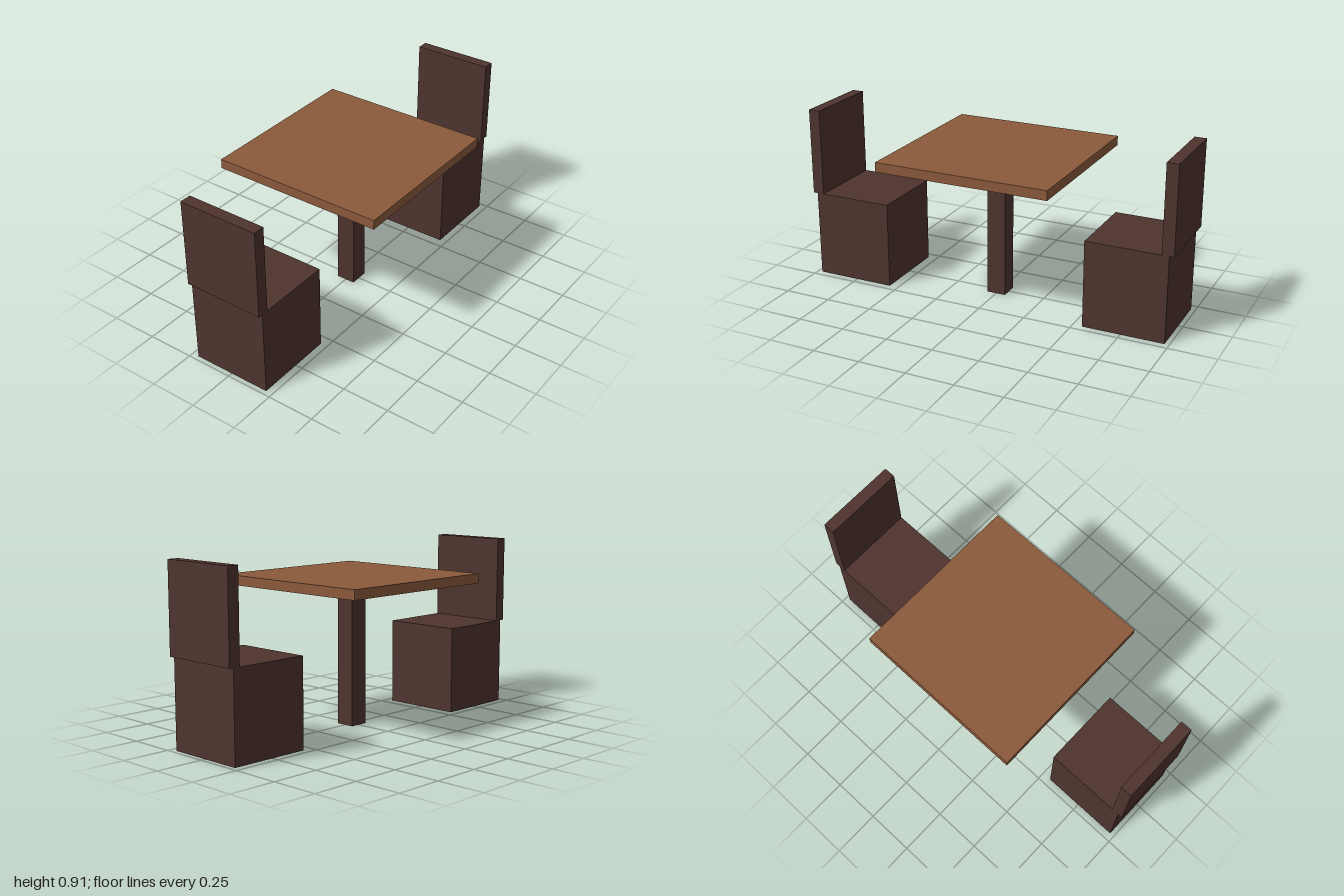
import * as THREE from 'three';

const topMaterial = new THREE.MeshStandardMaterial({ color: 0x8b5a3c });
const darkMaterial = new THREE.MeshStandardMaterial({ color: 0x4e342e });

// Box placed by the centre of its underside
function box(name, material, [w, h, d], [x, y, z]) {
  const mesh = new THREE.Mesh(new THREE.BoxGeometry(w, h, d), material);
  mesh.name = name;
  mesh.position.set(x, y + h / 2, z);
  return mesh;
}

// Block seat with an upright back slightly overhanging the outer edge
function createChair(name, side) {
  const chair = new THREE.Group();
  chair.name = name;
  chair.add(
    box('seat', darkMaterial, [0.426, 0.457, 0.426], [side * 0.763, 0, 0]),
    box('backrest', darkMaterial, [0.061, 0.457, 0.426], [side * 0.9695, 0.457, 0])
  );
  return chair;
}

export function createModel() {
  const model = new THREE.Group();
  model.name = 'diningSet';

  // Square table on a single post
  const table = new THREE.Group();
  table.name = 'table';
  table.add(
    box('tabletop', topMaterial, [0.916, 0.05, 0.916], [0, 0.731, 0]),
    box('tableLeg', darkMaterial, [0.1, 0.731, 0.1], [0, 0, 0])
  );

  // Facing chairs
  model.add(table, createChair('leftChair', 1), createChair('rightChair', -1));
  return model;
}
